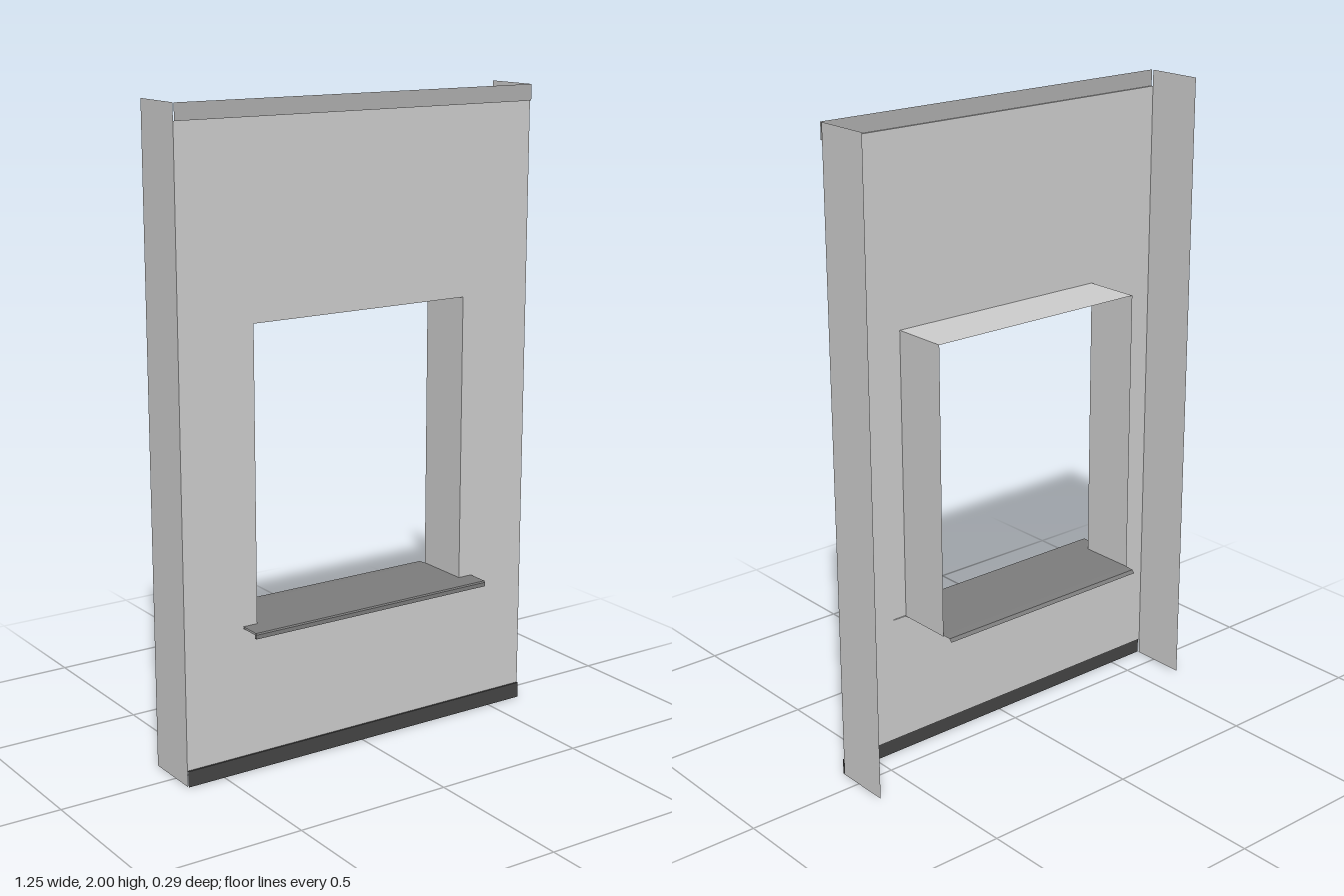
import * as THREE from 'three';

const W = 0.623;            // half width of the panel
const OX = 0.376;           // half width of the opening
const OY0 = 0.455, OY1 = 1.365;
const FRONT = 0.072, BACK = -0.11, STRIP = 0.078;
const HEM = 0.05;           // height of the edge strips

const sheetMaterial = (color) =>
  new THREE.MeshStandardMaterial({ color, side: THREE.DoubleSide, flatShading: true });

const panelGrey = sheetMaterial(0xcccccc);
const topGrey = sheetMaterial(0xadadad);
const sillGrey = sheetMaterial(0x7b7b7b);
const baseGrey = sheetMaterial(0x444444);

function add(group, name, geometry, material) {
  const mesh = new THREE.Mesh(geometry, material);
  mesh.name = name;
  group.add(mesh);
}

// Folded thin sheet: a [z, y] profile swept across x from -half to half
function foldedSheet(profile, half) {
  const pos = [];
  for (let i = 0; i < profile.length - 1; i++) {
    const [z0, y0] = profile[i], [z1, y1] = profile[i + 1];
    pos.push(-half, y0, z0, half, y0, z0, half, y1, z1);
    pos.push(-half, y0, z0, half, y1, z1, -half, y1, z1);
  }
  const geometry = new THREE.BufferGeometry();
  geometry.setAttribute('position', new THREE.Float32BufferAttribute(pos, 3));
  geometry.computeVertexNormals();
  return geometry;
}

// Upright sheet in the yz plane, facing outward on the given side
function sideSheet(x, y0, y1, side) {
  return new THREE.PlaneGeometry(FRONT - BACK, y1 - y0)
    .rotateY(side * Math.PI / 2)
    .translate(x, (y0 + y1) / 2, (FRONT + BACK) / 2);
}

export function createModel() {
  const model = new THREE.Group();
  model.name = 'windowPanel';

  // Front sheet with the window opening
  const face = new THREE.Shape();
  face.moveTo(-W, HEM).lineTo(W, HEM).lineTo(W, 2 - HEM).lineTo(-W, 2 - HEM).closePath();
  const opening = new THREE.Path();
  opening.moveTo(-OX, OY0).lineTo(-OX, OY1).lineTo(OX, OY1).lineTo(OX, OY0).closePath();
  face.holes.push(opening);
  add(model, 'frontSheet', new THREE.ShapeGeometry(face).translate(0, 0, FRONT), panelGrey);

  // Stepped strips along the top and bottom edges
  add(model, 'topStrip', foldedSheet([[FRONT, 2 - HEM], [STRIP, 2 - HEM], [STRIP, 2]], W), topGrey);
  add(model, 'bottomStrip', foldedSheet([[STRIP, 0], [STRIP, HEM], [FRONT, HEM]], W), baseGrey);

  // Side flanges and window jambs
  for (const [side, label] of [[1, 'left'], [-1, 'right']]) {
    add(model, label + 'Flange', sideSheet(side * W, 0, 2, side), panelGrey);
    add(model, label + 'Jamb', sideSheet(side * OX, OY0, OY1, side), panelGrey);
  }

  // Head and bottom of the window reveal
  add(model, 'windowHead', foldedSheet([[FRONT, OY1], [BACK, OY1]], OX), panelGrey);
  add(model, 'revealBottom', foldedSheet([[FRONT, OY0], [BACK, OY0]], OX), panelGrey);

  // Sill: projecting nose with a drip edge, inner board and rear lip
  const y = OY0 + 0.005;
  add(model, 'sillNose', foldedSheet(
    [[0.138, 0.443], [0.146, 0.443], [0.146, 0.456], [0.142, y], [FRONT, y], [FRONT, y - 0.006],
      [0.138, y - 0.006], [0.138, 0.443]], 0.424), sillGrey);
  add(model, 'sillBoard', foldedSheet([[FRONT, y], [BACK, y], [-0.138, y - 0.002], [-0.147, 0.449]], OX), sillGrey);

  return model;
}
